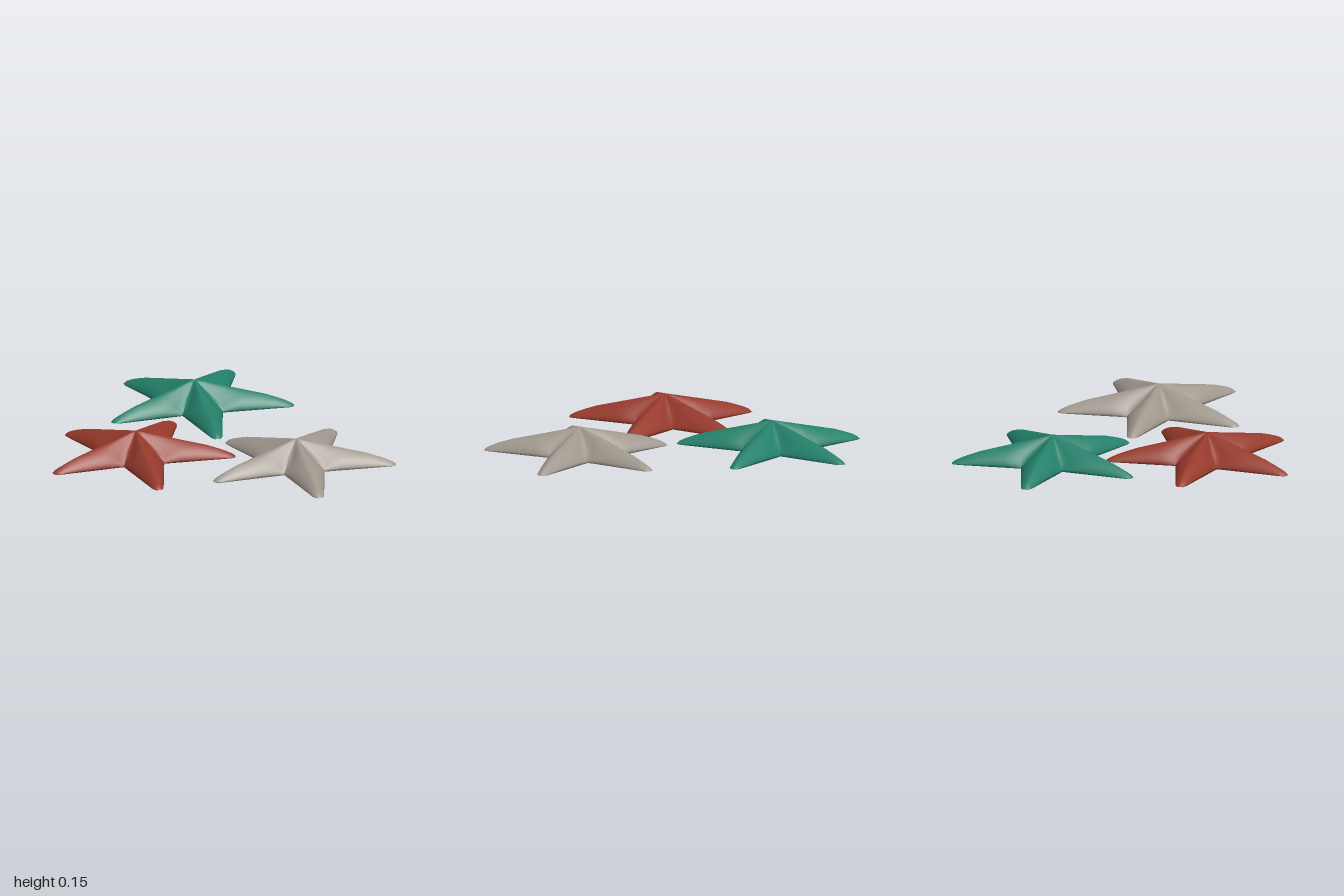
import * as THREE from 'three';
import { mergeVertices } from 'three/addons/utils/BufferGeometryUtils.js';

// Arm tips and the valleys that follow them, as [x, z] around the centre
const TIPS = [[-0.505, -0.01], [-0.135, -0.48], [0.43, -0.318], [0.45, 0.272], [-0.155, 0.488]];
const VALLEYS = [[-0.138, -0.122], [0.075, -0.196], [0.205, -0.015], [0.073, 0.167], [-0.135, 0.1]];
const PEAK = 0.148;
const VALLEY_AT = 0.34; // share of the arm length where the valleys lie
const CORNER_AT = 0.95; // where the blunt tip starts to round off
const STATIONS = [0, 0.068, 0.136, 0.204, 0.272, 0.31, 0.34, 0.4, 0.49, 0.6, 0.71, 0.83, 0.9, 0.95, 0.98, 1];
const RIDGE = [[0, PEAK], [0.71, 0.066], [0.83, 0.046], [0.93, 0.027], [0.98, 0.012], [1, 0]];
const ACROSS = 14;

// Height of the ridge at share s of the arm length
function ridgeHeight(s) {
  let i = 1;
  while (i < RIDGE.length - 1 && s > RIDGE[i][0]) i++;
  const [s0, y0] = RIDGE[i - 1], [s1, y1] = RIDGE[i];
  return THREE.MathUtils.lerp(y0, y1, (s - s0) / (s1 - s0));
}

// Edge of an arm: down the crease to the valley, then along the ground to the tip
function edgePoint(s, valley, tip, side) {
  if (s <= VALLEY_AT) {
    const t = s / VALLEY_AT;
    return new THREE.Vector3(valley.x * t, PEAK * Math.pow(1 - t, 0.85), valley.z * t);
  }
  const normal = new THREE.Vector3(-tip.z, 0, tip.x).normalize();
  const corner = tip.clone().multiplyScalar(CORNER_AT).addScaledVector(normal, side * 0.03);
  const end = tip.clone().addScaledVector(normal, side * 0.015);
  return s <= CORNER_AT
    ? valley.clone().lerp(corner, (s - VALLEY_AT) / (CORNER_AT - VALLEY_AT))
    : corner.lerp(end, (s - CORNER_AT) / (1 - CORNER_AT));
}

// Five rounded, tapering arms with a flat underside
function starGeometry() {
  const positions = [0, 0, 0], indices = [];
  const flat = ([x, z]) => new THREE.Vector3(x, 0, z);
  TIPS.forEach((tipXZ, i) => {
    const tip = flat(tipXZ);
    const before = flat(VALLEYS[(i + 4) % 5]), after = flat(VALLEYS[i]);
    const start = positions.length / 3;
    STATIONS.forEach((s, k) => {
      const ridge = tip.clone().multiplyScalar(s).setY(ridgeHeight(s));
      // arms are round; towards the centre they blend softly into each other
      const soft = 1 - THREE.MathUtils.smoothstep(s, 0.2, 0.5);
      const row = start + k * (ACROSS + 1), previous = row - ACROSS - 1;
      for (let j = 0; j <= ACROSS; j++) {
        const angle = (j / ACROSS - 0.5) * Math.PI;
        const u = Math.abs(Math.sin(angle));
        const left = j < ACROSS / 2;
        const edge = edgePoint(s, left ? before : after, tip, left ? -1 : 1);
        const p = ridge.clone().lerp(edge, u);
        const round = 0.65 * Math.cos(angle) + 0.35 * (1 - u);
        const wave = 0.5 + 0.5 * Math.cos(Math.PI * u);
        p.y = THREE.MathUtils.lerp(edge.y, ridge.y, THREE.MathUtils.lerp(round, wave, soft));
        positions.push(p.x, p.y, p.z);
        if (k > 0 && j < ACROSS) {
          const a = previous + j, b = row + j;
          indices.push(a + 1, b, a, a + 1, b + 1, b);
        }
      }
      // underside: a triangle from the centre to the valleys, then a strip along the arm
      if (s === VALLEY_AT) indices.push(row, row + ACROSS, 0);
      if (s > VALLEY_AT) {
        indices.push(previous, row, previous + ACROSS, previous + ACROSS, row, row + ACROSS);
      }
    });
  });
  const geometry = new THREE.BufferGeometry();
  geometry.setAttribute('position', new THREE.Float32BufferAttribute(positions, 3));
  geometry.setIndex(indices);
  const welded = mergeVertices(geometry, 1e-4);
  welded.computeVertexNormals();
  return welded;
}

export function createModel() {
  const group = new THREE.Group();
  group.name = 'starfishGroup';
  const geometry = starGeometry();
  const stars = [
    ['redStarfish', 0x963a2b, -0.305, -0.037],
    ['greenStarfish', 0x24806a, 0.355, -0.52],
    ['sandStarfish', 0xa0988e, 0.355, 0.507],
  ];
  for (const [name, color, x, z] of stars) {
    const star = new THREE.Mesh(geometry, new THREE.MeshStandardMaterial({ color }));
    star.name = name;
    star.position.set(x, 0, z);
    group.add(star);
  }
  return group;
}
